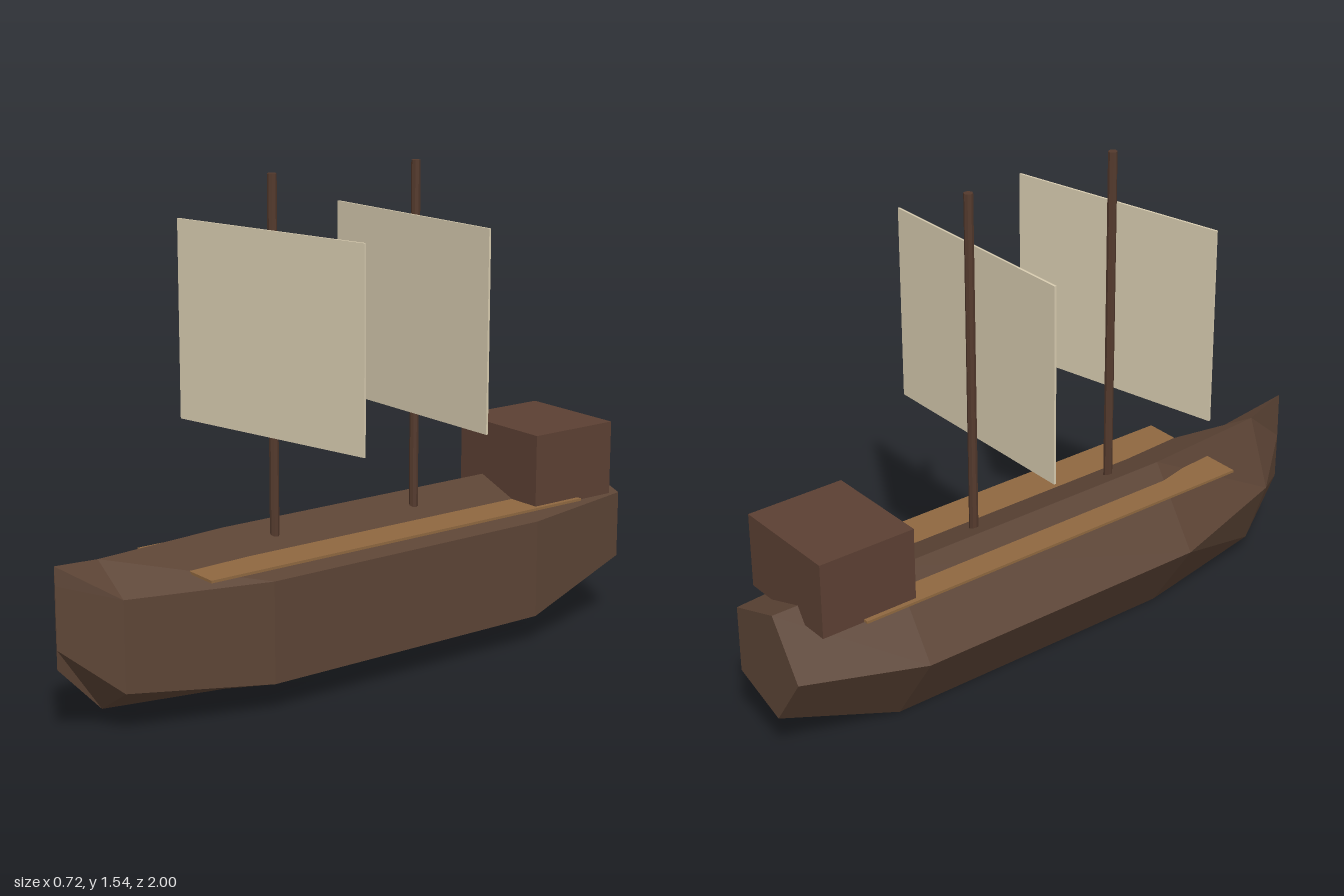
import * as THREE from 'three';

const paint = (name, color) => {
  const m = new THREE.MeshStandardMaterial({ color });
  m.name = name;
  m.flatShading = true;
  return m;
};

// Five-sided hull skinned over elliptical stations: [z, half width, centre height, half height]
function hullGeometry() {
  const stations = [
    [1, 0.002, 0.37, 0.158],
    [0.84, 0.12, 0.279, 0.234],
    [0.4, 0.24, 0.255, 0.263],
    [-0.6, 0.24, 0.255, 0.263],
    [-1, 0.17, 0.318, 0.181],
  ];
  const sides = 5;
  const rings = stations.map(([z, rx, cy, ry]) =>
    Array.from({ length: sides }, (_, i) => {
      const a = Math.PI + (i * 2 * Math.PI) / sides;
      return [rx * Math.cos(a), cy + ry * Math.sin(a), z];
    }));
  const pos = [];
  const tri = (...pts) => pts.forEach((p) => pos.push(...p));
  for (let k = 0; k < rings.length - 1; k++) {
    for (let i = 0; i < sides; i++) {
      const j = (i + 1) % sides;
      const [a, b, c, d] = [rings[k][i], rings[k][j], rings[k + 1][j], rings[k + 1][i]];
      tri(a, d, b);
      tri(b, d, c);
    }
  }
  // Bow and stern caps
  const bow = rings[0], stern = rings[rings.length - 1];
  for (let i = 1; i < sides - 1; i++) {
    tri(bow[0], bow[i], bow[i + 1]);
    tri(stern[0], stern[i + 1], stern[i]);
  }
  const g = new THREE.BufferGeometry();
  g.setAttribute('position', new THREE.Float32BufferAttribute(pos, 3));
  g.computeVertexNormals();
  return g;
}

export function createModel() {
  const hullWood = paint('hull wood', 0x5c4435);
  const cabinWood = paint('cabin wood', 0x5c4033);
  const mastWood = paint('mast wood', 0x543a2d);
  const deckWood = paint('deck wood', 0x8f6840);
  const canvas = paint('sail canvas', 0xd8ccb0);

  const ship = new THREE.Group();
  ship.name = 'sailingShip';
  const add = (parent, name, geometry, material, x, y, z) => {
    const mesh = new THREE.Mesh(geometry, material);
    mesh.name = name;
    mesh.position.set(x, y, z);
    parent.add(mesh);
    return mesh;
  };

  add(ship, 'hull', hullGeometry(), hullWood, 0, 0, 0);
  add(ship, 'deck', new THREE.BoxGeometry(0.39, 0.008, 1.395), deckWood, 0, 0.45, -0.083);
  add(ship, 'cabin', new THREE.BoxGeometry(0.36, 0.235, 0.315), cabinWood, 0, 0.5625, -0.76);

  // Each mast carries one square sail just ahead of it; the fore sail is braced round
  for (const [name, z, turn] of [['fore', 0.262, 0.215], ['aft', -0.26, 0]]) {
    const rig = new THREE.Group();
    rig.name = name + 'Rig';
    rig.position.z = z;
    rig.rotation.y = turn;
    add(rig, name + 'Mast', new THREE.CylinderGeometry(0.014, 0.014, 1.1, 8), mastWood, 0, 0.99, 0);
    add(rig, name + 'Sail', new THREE.BoxGeometry(0.72, 0.605, 0.007), canvas, 0, 1.0775, 0.017);
    ship.add(rig);
  }
  return ship;
}
